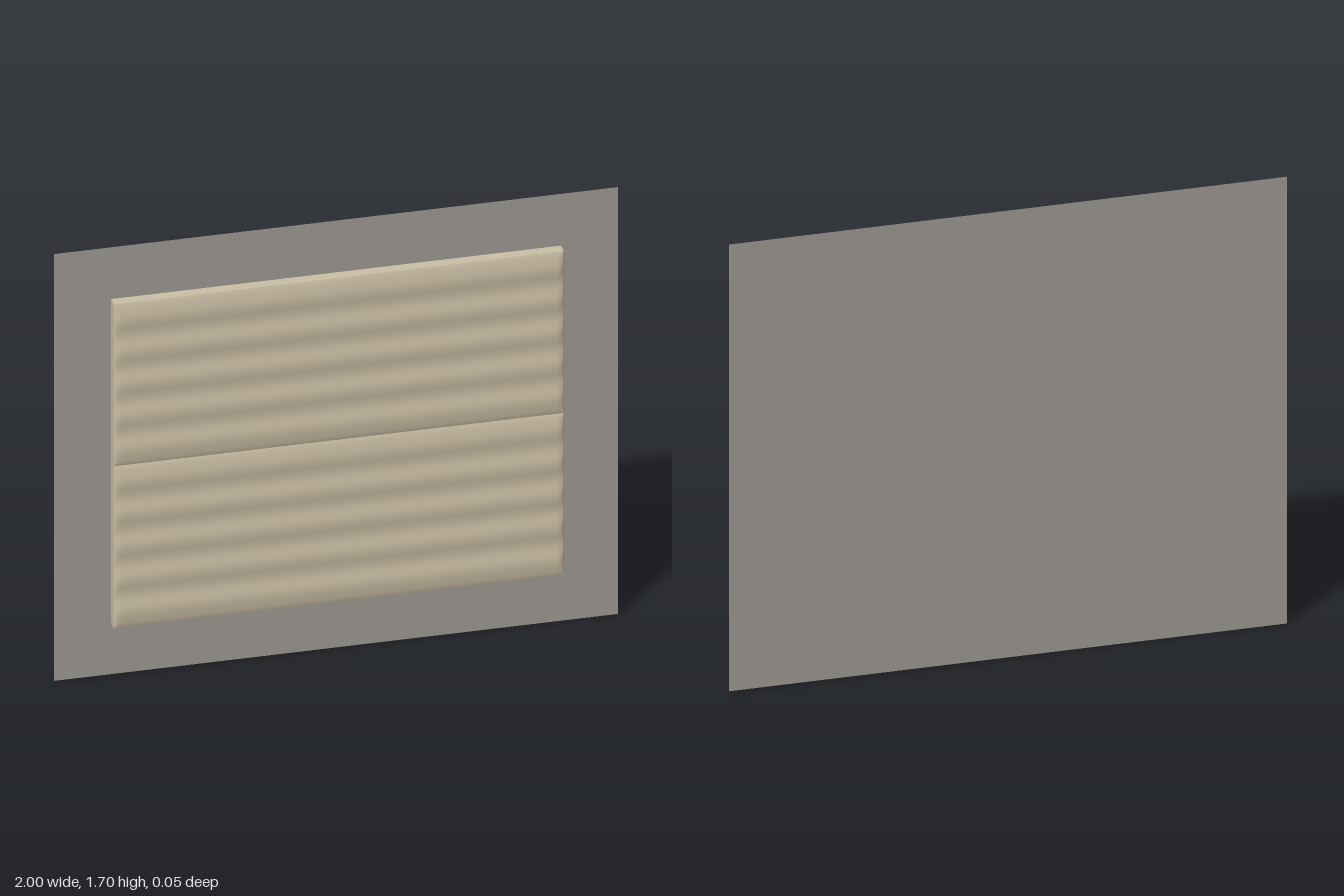
import * as THREE from 'three';

const WIDTH = 1.595, HEIGHT = 0.645, BACK = -0.025, FACE = 0.015;
const RIBS = 5;

// Padded face: horizontal rolls that fall away to the slab along every edge
function paddedFace() {
  const geo = new THREE.PlaneGeometry(WIDTH, HEIGHT, 80, 80);
  const pos = geo.attributes.position;
  for (let i = 0; i < pos.count; i++) {
    // bunch the columns towards the ends, where the padding rolls over
    const x = (WIDTH / 2) * Math.sin((pos.getX(i) / WIDTH) * Math.PI);
    const y = pos.getY(i);
    const roll = Math.sin(((y + HEIGHT / 2) / HEIGHT) * RIBS * Math.PI) ** 2;
    const inset = Math.min(WIDTH / 2 - Math.abs(x), HEIGHT / 2 - Math.abs(y));
    const edge = Math.sqrt(Math.min(1, Math.max(0, inset / 0.02)));
    pos.setXYZ(i, x, y, FACE + edge * (0.004 + 0.006 * roll));
  }
  geo.computeVertexNormals();
  return geo;
}

export function createModel() {
  const model = new THREE.Group();
  const wallGrey = new THREE.MeshStandardMaterial({ color: 0x9e9a94, side: THREE.DoubleSide });
  wallGrey.name = 'wallGrey';
  const fabricBeige = new THREE.MeshStandardMaterial({ color: 0xcbbfa5 });
  fabricBeige.name = 'fabricBeige';

  // Thin backing sheet
  const backing = new THREE.Mesh(new THREE.PlaneGeometry(2, 1.7), wallGrey);
  backing.name = 'backingSheet';
  backing.position.set(0, 0.85, BACK);
  model.add(backing);

  // Two stacked panels, each a slab with a padded face
  const slabGeo = new THREE.BoxGeometry(WIDTH, HEIGHT - 0.001, FACE - BACK - 0.001);
  const faceGeo = paddedFace();
  for (const [name, side] of [['lowerPanel', -1], ['upperPanel', 1]]) {
    const panel = new THREE.Group();
    panel.name = name;
    panel.position.y = 0.85 + side * HEIGHT / 2;
    const slab = new THREE.Mesh(slabGeo, fabricBeige);
    slab.name = 'slab';
    slab.position.z = (FACE + BACK) / 2 + 0.0005;
    const face = new THREE.Mesh(faceGeo, fabricBeige);
    face.name = 'paddedFace';
    panel.add(slab, face);
    model.add(panel);
  }
  return model;
}
